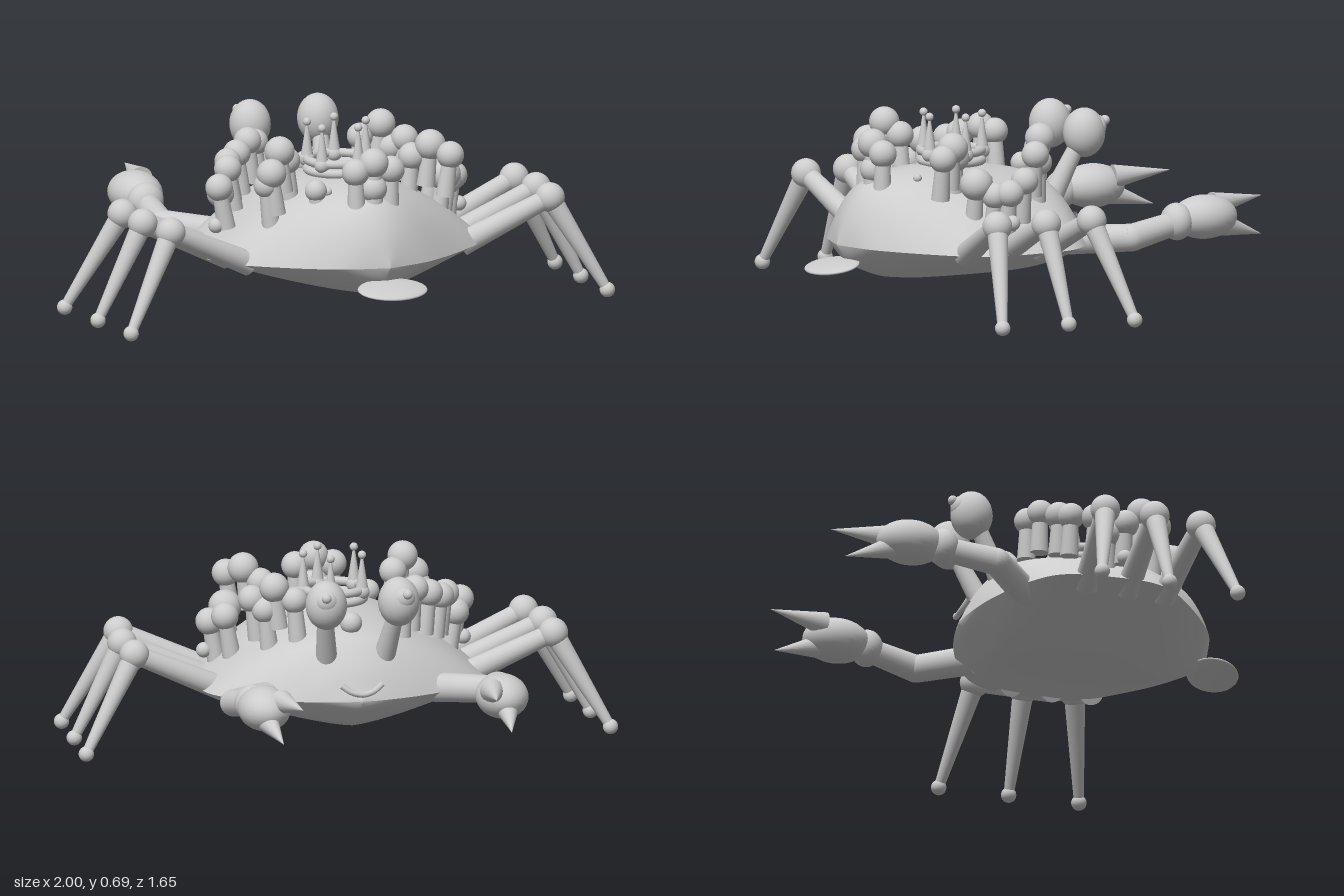
import * as THREE from 'three';

export function createModel() {
  const model = new THREE.Group();
  model.name = 'crab';
  const grey = new THREE.MeshStandardMaterial({ color: 0xcccccc, side: THREE.DoubleSide });
  grey.name = 'clay grey';
  const V = (p) => new THREE.Vector3(...p);

  function add(name, geometry, parent = model, pos = [0, 0, 0]) {
    const mesh = new THREE.Mesh(geometry, grey);
    mesh.name = name;
    mesh.position.set(...pos);
    parent.add(mesh);
    return mesh;
  }
  const ball = (name, pos, r, parent, scale = [1, 1, 1]) => {
    const mesh = add(name, new THREE.SphereGeometry(r, 24, 16), parent, pos);
    mesh.scale.set(...scale);
    return mesh;
  };
  // Tapered limb running from a to b
  function limb(name, a, b, ra, rb, parent) {
    const from = V(a), dir = V(b).sub(from);
    const mesh = add(name, new THREE.CylinderGeometry(rb, ra, dir.length(), 20), parent);
    mesh.position.copy(from).addScaledVector(dir, 0.5);
    mesh.quaternion.setFromUnitVectors(new THREE.Vector3(0, 1, 0), dir.normalize());
    return mesh;
  }

  // Shell stations from front to back: z, half width, ridge height, keel height
  const RIM = 0.225;
  const stations = [
    [-0.225, 0, 0.23, 0.22], [-0.205, 0.12, 0.265, 0.19], [-0.165, 0.25, 0.345, 0.16],
    [-0.09, 0.4, 0.43, 0.11], [0.015, 0.505, 0.465, 0.09], [0.19, 0.535, 0.49, 0.085],
    [0.34, 0.53, 0.495, 0.085], [0.44, 0.475, 0.488, 0.088], [0.535, 0.37, 0.468, 0.1],
    [0.615, 0.26, 0.43, 0.128], [0.675, 0.15, 0.345, 0.16], [0.715, 0, 0.23, 0.22],
  ];
  const curve = (k) => new THREE.CatmullRomCurve3(
    stations.map((s) => new THREE.Vector3(s[1], s[k], s[0])), false, 'catmullrom', 0.5);

  // Half of the shell, lofted across the width at each station
  function shellHalf(ridge, power, up) {
    const rows = 56, cols = 40, pos = [], index = [];
    for (let i = 0; i <= rows; i++) {
      const p = ridge.getPoint(i / rows), w = Math.max(p.x, 0);
      for (let j = 0; j <= cols; j++) {
        const u = Math.sin((j / cols - 0.5) * Math.PI);
        pos.push(w * u, RIM + (p.y - RIM) * (1 - Math.abs(u) ** power), p.z);
        if (i === rows || j === cols) continue;
        const a = i * (cols + 1) + j, b = a + cols + 1;
        if (up) index.push(a, b, a + 1, b, b + 1, a + 1);
        else index.push(a, a + 1, b, b, a + 1, b + 1);
      }
    }
    const g = new THREE.BufferGeometry();
    g.setAttribute('position', new THREE.Float32BufferAttribute(pos, 3));
    g.setIndex(index);
    g.computeVertexNormals();
    return g;
  }
  add('upperShell', shellHalf(curve(2), 1.9, true));
  add('lowerShell', shellHalf(curve(3), 1.35, false));

  // Tail flap and smiling mouth
  ball('tailFlap', [0, 0.15, 0.735], 1, model, [0.133, 0.016, 0.092]).rotation.x = 0.23;
  const smile = new THREE.CatmullRomCurve3([[-0.075, 0.285, -0.212], [-0.04, 0.262, -0.224],
    [0, 0.253, -0.229], [0.04, 0.262, -0.224], [0.075, 0.285, -0.212]].map(V));
  add('mouth', new THREE.TubeGeometry(smile, 20, 0.011, 8));

  // Walking legs: root, knee and foot of each
  const legs = [
    [[0.44, 0.22, 0.115], [0.775, 0.372, 0.082], [0.97, 0.03, 0.008]],
    [[0.44, 0.22, 0.27], [0.778, 0.372, 0.268], [0.955, 0.03, 0.268]],
    [[0.42, 0.22, 0.41], [0.75, 0.372, 0.452], [0.942, 0.03, 0.53]],
  ];
  for (const s of [1, -1]) {
    const side = s > 0 ? 'left' : 'right';
    const m = ([x, y, z]) => [x * s, y, z];
    for (const [root, knee, foot] of legs) {
      const leg = new THREE.Group();
      leg.name = side + 'Leg';
      model.add(leg);
      limb('upperLeg', m(root), m(knee), 0.045, 0.034, leg);
      ball('knee', m(knee), 0.054, leg);
      limb('lowerLeg', m(knee), m(foot), 0.039, 0.018, leg);
      ball('foot', m(foot), 0.028, leg);
    }

    // Claw arm with palm and two pincers
    const claw = new THREE.Group();
    claw.name = side + 'Claw';
    model.add(claw);
    const elbow = m([0.48, 0.25, -0.235]);
    limb('upperArm', m([0.3, 0.23, -0.07]), elbow, 0.054, 0.05, claw);
    ball('elbow', elbow, 0.05, claw);
    limb('forearm', elbow, m([0.453, 0.285, -0.42]), 0.05, 0.044, claw);
    ball('wrist', m([0.453, 0.292, -0.43]), 0.068, claw, [1, 1, 0.85]);
    ball('palm', m([0.44, 0.3, -0.55]), 1, claw, [0.095, 0.08, 0.125]);
    limb('upperPincer', m([0.39, 0.335, -0.61]), m([0.358, 0.35, -0.824]), 0.044, 0.0005, claw);
    limb('lowerPincer', m([0.445, 0.27, -0.61]), m([0.422, 0.22, -0.79]), 0.044, 0.0005, claw);

    // Eye on its stalk
    const eye = new THREE.Group();
    eye.name = side + 'Eye';
    model.add(eye);
    limb('eyeStalk', m([0.105, 0.35, -0.1]), m([0.134, 0.56, -0.2]), 0.04, 0.028, eye);
    ball('eyeball', m([0.134, 0.59, -0.22]), 1, eye, [0.075, 0.09, 0.077]);
    ball('iris', m([0.142, 0.612, -0.27]), 0.04, eye, [1, 1, 0.75]);
    ball('pupil', m([0.15, 0.632, -0.296]), 0.018, eye);

    // Small barnacles on the shell
    for (const p of [[0.19, 0.458, 0.2], [0.13, 0.468, 0.455], [0.075, 0.487, 0.25]])
      ball('barnacle', m(p), 0.016);
    ball('barnacle', m([0.48, 0.335, 0.25]), 0.028);
  }

  // Crown: two rings with five tipped spikes
  const crown = new THREE.Group();
  crown.name = 'crown';
  crown.position.set(0, 0, 0.25);
  model.add(crown);
  for (const y of [0.505, 0.54])
    add('crownRing', new THREE.TorusGeometry(0.11, 0.016, 12, 40), crown, [0, y, 0]).rotation.x = Math.PI / 2;
  for (let i = 0; i < 5; i++) {
    const a = i * Math.PI * 0.4, x = 0.112 * Math.cos(a), z = 0.112 * Math.sin(a);
    ball('crownGem', [x, 0.535, z], 0.028, crown);
    limb('crownSpike', [x, 0.54, z], [x, 0.67, z], 0.024, 0.003, crown);
    ball('spikeTip', [x, 0.672, z], 0.015, crown);
  }

  // Coral clusters: each bead is x, y, z, radius
  const clusters = [
    [[0.2, 0.56, 0.005, 0.048], [0.27, 0.605, 0.03, 0.054], [0.34, 0.555, 0.085, 0.05], [0.3, 0.52, 0.05, 0.048]],
    [[0.42, 0.475, 0.17, 0.05], [0.46, 0.44, 0.25, 0.05], [0.42, 0.43, 0.29, 0.048]],
    [[0.38, 0.47, 0.345, 0.06], [0.245, 0.55, 0.36, 0.05], [0.3, 0.595, 0.4, 0.056], [0.35, 0.565, 0.465, 0.05]],
    [[-0.2, 0.565, -0.03, 0.048], [-0.245, 0.58, 0.005, 0.05], [-0.31, 0.55, 0.055, 0.05], [-0.36, 0.53, 0.085, 0.048]],
    [[-0.395, 0.52, 0.165, 0.05], [-0.44, 0.44, 0.2, 0.05], [-0.47, 0.475, 0.255, 0.05]],
    [[-0.24, 0.57, 0.335, 0.05], [-0.285, 0.615, 0.375, 0.055], [-0.335, 0.545, 0.415, 0.054], [-0.35, 0.5, 0.4, 0.045]],
    [[-0.07, 0.555, 0.565, 0.05], [0, 0.585, 0.57, 0.054], [0.07, 0.555, 0.565, 0.05], [0, 0.49, 0.565, 0.05]],
    [[0, 0.475, -0.035, 0.04]],
    [[-0.175, 0.475, 0.45, 0.04]],
  ];
  for (const beads of clusters) {
    const coral = new THREE.Group();
    coral.name = 'coralCluster';
    model.add(coral);
    for (const [x, y, z, r] of beads) {
      ball('coralBead', [x, y, z], r, coral);
      limb('coralStem', [x * 0.94, y - 0.15, z], [x, y, z], 0.034, 0.026, coral);
    }
  }
  return model;
}
